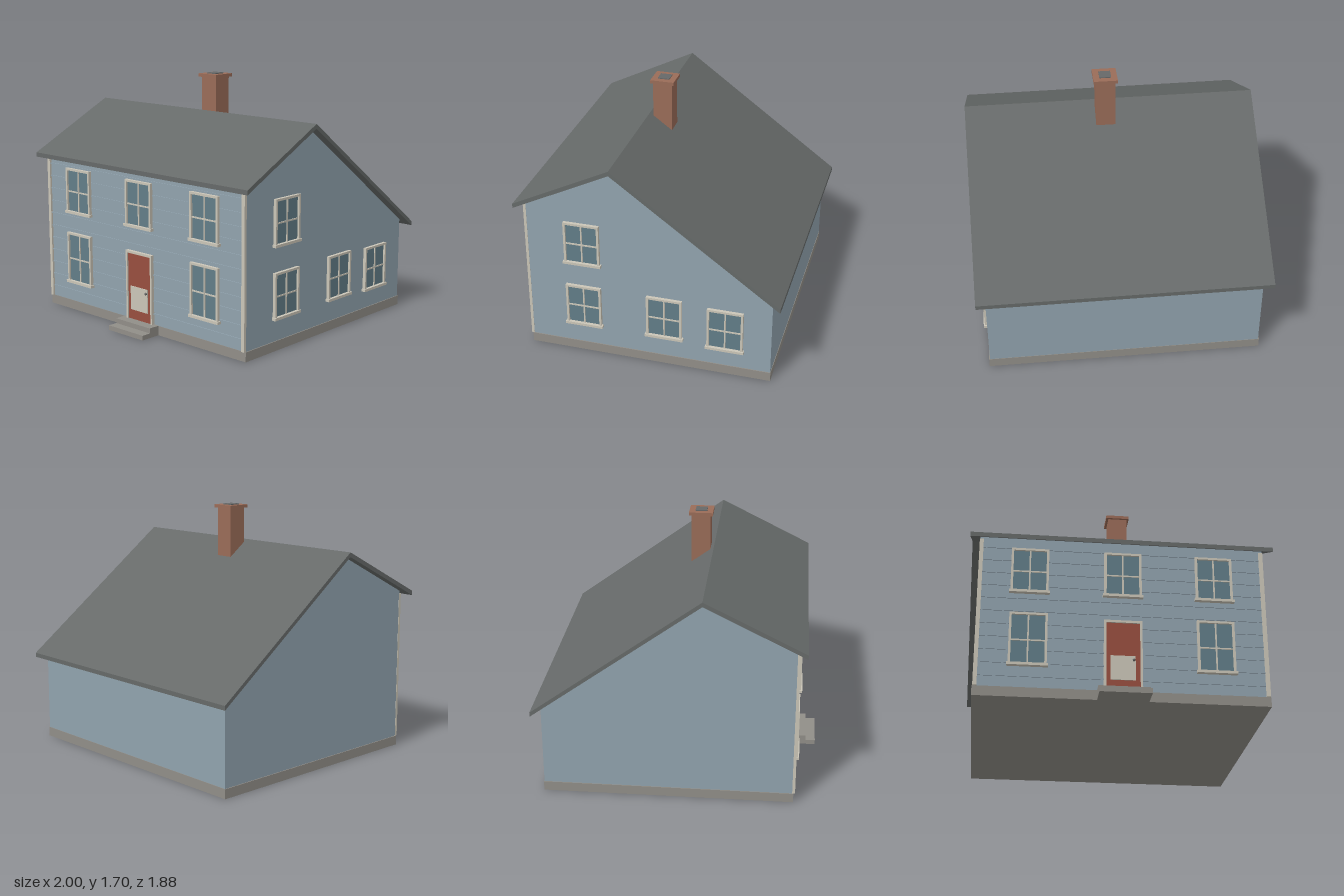
import * as THREE from 'three';

const mat = (name, color) => Object.assign(new THREE.MeshStandardMaterial({ color }), { name });
const M = {
  siding: mat('blue siding', 0x91a3ae),
  roof: mat('roof grey', 0x666a69),
  trim: mat('cream trim', 0xcbc6b8),
  glass: mat('window glass', 0x627d88),
  door: mat('door red', 0x984f3f),
  brick: mat('brick', 0x9a6c58),
  stone: mat('foundation stone', 0x918e88),
  metal: mat('flue grey', 0x666868),
};

// Box given by its min and max on each axis
function box(parent, name, material, [x0, x1], [y0, y1], [z0, z1]) {
  const mesh = new THREE.Mesh(new THREE.BoxGeometry(x1 - x0, y1 - y0, z1 - z0), material);
  mesh.position.set((x0 + x1) / 2, (y0 + y1) / 2, (z0 + z1) / 2);
  mesh.name = name;
  parent.add(mesh);
  return mesh;
}

// Outline in (z, y), extruded across the width of the house
function acrossX(parent, name, material, points, halfWidth) {
  const shape = new THREE.Shape(points.map(([z, y]) => new THREE.Vector2(z, y)));
  const geo = new THREE.ExtrudeGeometry(shape, { depth: halfWidth * 2, bevelEnabled: false });
  geo.rotateY(-Math.PI / 2).translate(halfWidth, 0, 0);
  const mesh = new THREE.Mesh(geo, material);
  mesh.name = name;
  parent.add(mesh);
}

// Four-pane window facing +z, origin at the bottom centre of the frame
function makeWindow(name, h) {
  const g = new THREE.Group();
  g.name = name;
  const w = 0.122, t = 0.015;
  box(g, 'glass', M.glass, [-w + t, w - t], [0, h - t], [0, 0.008]);
  for (const s of [-1, 1]) {
    const x = s * (w - t / 2);
    box(g, 'sideCasing', M.trim, [x - t / 2, x + t / 2], [0, h], [0, 0.022]);
  }
  box(g, 'topCasing', M.trim, [-w + t, w - t], [h - t, h], [0, 0.022]);
  box(g, 'sill', M.trim, [-0.131, 0.131], [-0.016, 0.002], [0, 0.03]);
  box(g, 'verticalMuntin', M.trim, [-0.005, 0.005], [0, h - t], [0, 0.014]);
  box(g, 'horizontalMuntin', M.trim, [-w + t, w - t], [h * 0.46 - 0.005, h * 0.46 + 0.005], [0, 0.0135]);
  return g;
}

export function createModel() {
  const house = new THREE.Group();
  house.name = 'house';
  const front = 0.79, back = -0.88, half = 0.936;

  // Foundation and walls with the long rear slope
  box(house, 'foundation', M.stone, [-0.942, 0.942], [0, 0.065], [back - 0.003, front + 0.003]);
  acrossX(house, 'walls', M.siding,
    [[back, 0.065], [front, 0.065], [front, 1.115], [0.186, 1.416], [back, 0.635]], half);

  // Roof slab with vertical eave ends
  acrossX(house, 'roof', M.roof,
    [[0.85, 1.084], [0.85, 1.115], [0.186, 1.446], [-0.94, 0.62], [-0.94, 0.59], [0.186, 1.415]], 1);

  // Clapboard lines and corner boards on the front
  for (let i = 0; i < 11; i++) {
    const y = 0.14 + i * 0.09;
    box(house, 'clapboard', M.siding, [-0.912, 0.912], [y - 0.005, y + 0.005], [front - 0.01, front + 0.006]);
  }
  for (const s of [-1, 1]) {
    box(house, 'cornerBoard', M.trim, [s * 0.925 - 0.013, s * 0.925 + 0.013], [0.065, 1.095], [front - 0.005, front + 0.014]);
  }

  // Front windows
  for (const x of [-0.605, 0, 0.6]) {
    const upper = makeWindow('upperFrontWindow', 0.305);
    upper.position.set(x, 0.727, front + 0.004);
    house.add(upper);
    if (x === 0) continue;
    const lower = makeWindow('lowerFrontWindow', 0.35);
    lower.position.set(x, 0.22, front + 0.004);
    house.add(lower);
  }

  // Windows on the left side
  for (const [z, y] of [[0.405, 0.707], [0.405, 0.227], [-0.155, 0.227], [-0.57, 0.207]]) {
    const side = makeWindow('sideWindow', 0.295);
    side.rotation.y = Math.PI / 2;
    side.position.set(half, y, z);
    house.add(side);
  }

  // Door with casing, light panel and knob
  const door = new THREE.Group();
  door.name = 'frontDoor';
  door.position.z = front;
  box(door, 'doorLeaf', M.door, [-0.113, 0.113], [0.065, 0.532], [0, 0.014]);
  for (const s of [-1, 1]) {
    box(door, 'doorCasing', M.trim, [s * 0.116 - 0.007, s * 0.116 + 0.007], [0.065, 0.545], [0, 0.024]);
  }
  box(door, 'doorHead', M.trim, [-0.109, 0.109], [0.529, 0.545], [0, 0.024]);
  box(door, 'doorPanel', M.trim, [-0.083, 0.078], [0.135, 0.3], [0.012, 0.02]);
  const knob = new THREE.Mesh(new THREE.SphereGeometry(0.009, 12, 8), M.metal);
  knob.name = 'doorKnob';
  knob.position.set(0.067, 0.272, 0.024);
  door.add(knob);
  house.add(door);

  // Entry steps
  box(house, 'upperStep', M.stone, [-0.164, 0.164], [0, 0.067], [front, 0.873]);
  box(house, 'lowerStep', M.stone, [-0.164, 0.164], [0, 0.033], [0.87, 0.94]);

  // Chimney
  box(house, 'chimneyStack', M.brick, [-0.027, 0.105], [1.2, 1.675], [0.03, 0.162]);
  box(house, 'chimneyCap', M.brick, [-0.043, 0.121], [1.672, 1.694], [0.014, 0.178]);
  box(house, 'flue', M.metal, [-0.001, 0.079], [1.67, 1.7], [0.056, 0.136]);
  return house;
}
